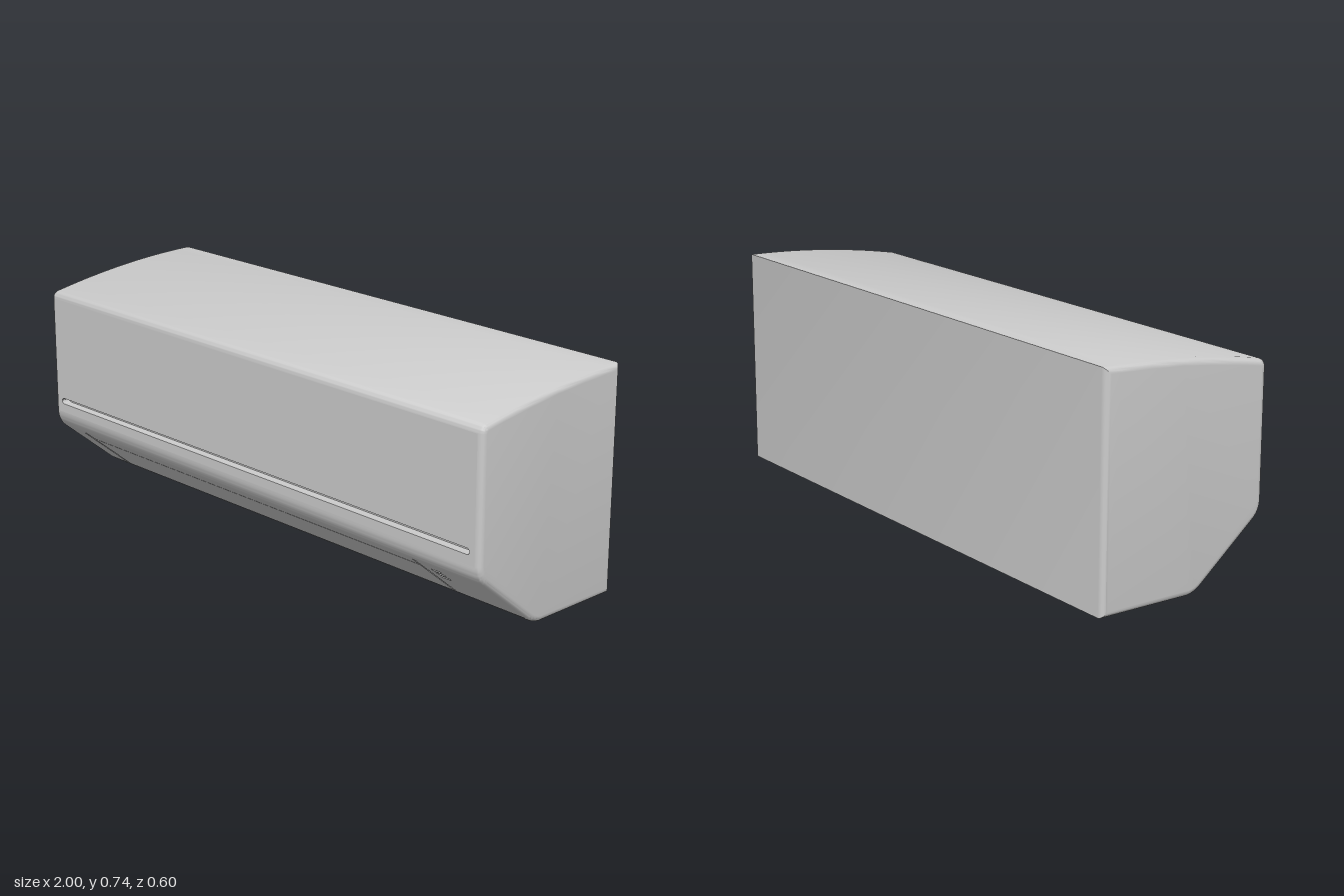
import * as THREE from 'three';
import { toCreasedNormals } from 'three/addons/utils/BufferGeometryUtils.js';

const HALF = 1, BEVEL = 0.02, FRONT = 0.3;
const CHAMFER_TOP = { z: 0.27, y: 0.186 }, CHAMFER_LOW = { z: 0.075, y: 0.024 };

const casing = new THREE.MeshStandardMaterial({ color: 0xcccccc });
casing.name = 'light grey plastic';

// Drops the triangles whose normal points along one of the directions; can turn the rest inside out.
function withoutFaces(geometry, directions, flip = false) {
  const source = geometry.index ? geometry.toNonIndexed() : geometry;
  const p = source.attributes.position;
  const out = [], t = new THREE.Triangle(), n = new THREE.Vector3();
  for (let i = 0; i < p.count; i += 3) {
    t.setFromAttributeAndIndices(p, i, i + 1, i + 2);
    t.getNormal(n);
    if (directions.some((d) => n.dot(d) > 0.9995)) continue;
    for (const v of flip ? [t.a, t.c, t.b] : [t.a, t.b, t.c]) out.push(v.x, v.y, v.z);
  }
  const result = new THREE.BufferGeometry();
  result.setAttribute('position', new THREE.Float32BufferAttribute(out, 3));
  return toCreasedNormals(result, 0.6);
}

function addMesh(parent, name, geometry) {
  const mesh = new THREE.Mesh(geometry, casing);
  mesh.name = name;
  parent.add(mesh);
}

function rectangle(x0, y0, x1, y1) {
  return new THREE.Shape().moveTo(x0, y0).lineTo(x1, y0).lineTo(x1, y1).lineTo(x0, y1).closePath();
}

// Slot with round ends
function roundSlot(x0, x1, y, r) {
  const s = new THREE.Shape();
  s.absarc(x1 - r, y, r, -Math.PI / 2, Math.PI / 2, false);
  s.absarc(x0 + r, y, r, Math.PI / 2, Math.PI * 1.5, false);
  return s.closePath();
}

// Flat panel facing +z with pockets sunk into it
function pocketPanel(name, height, pockets) {
  const group = new THREE.Group();
  group.name = name;
  const w = HALF - BEVEL;
  const sheet = rectangle(-w, 0, w, height);
  for (const { shape } of pockets) sheet.holes.push(shape);
  addMesh(group, name + 'Sheet', new THREE.ShapeGeometry(sheet, 8));
  for (const { part, shape, depth } of pockets) {
    const solid = new THREE.ExtrudeGeometry(shape, { depth, bevelEnabled: false, curveSegments: 8 });
    solid.translate(0, 0, -depth);
    addMesh(group, part, withoutFaces(solid, [new THREE.Vector3(0, 0, 1)], true));
  }
  return group;
}

export function createModel() {
  const model = new THREE.Group();
  model.name = 'wallAirConditioner';

  // Side profile, drawn with x = -z
  const profile = new THREE.Shape();
  profile.moveTo(0.3, 0);
  profile.lineTo(0.3, 0.735);
  profile.quadraticCurveTo(0.02, 0.735, -0.275, 0.679);
  profile.quadraticCurveTo(-FRONT, 0.675, -FRONT, 0.65);
  profile.lineTo(-FRONT, 0.25);
  profile.quadraticCurveTo(-FRONT, 0.211, -CHAMFER_TOP.z, CHAMFER_TOP.y);
  profile.lineTo(-CHAMFER_LOW.z, CHAMFER_LOW.y);
  profile.quadraticCurveTo(-0.046, 0, -0.015, 0);
  profile.closePath();

  // Shell with softened ends, left open where the two panels go
  const dy = CHAMFER_TOP.y - CHAMFER_LOW.y, dz = CHAMFER_TOP.z - CHAMFER_LOW.z;
  const slope = Math.hypot(dy, dz);
  const shell = new THREE.ExtrudeGeometry(profile, {
    depth: 2 * (HALF - BEVEL), curveSegments: 10, bevelEnabled: true,
    bevelSize: BEVEL, bevelThickness: BEVEL, bevelOffset: -BEVEL, bevelSegments: 5,
  });
  shell.translate(0, 0, -(HALF - BEVEL)).rotateY(Math.PI / 2);
  addMesh(model, 'shell', withoutFaces(shell, [
    new THREE.Vector3(0, 0, 1), new THREE.Vector3(0, -dz / slope, dy / slope),
  ]));

  // Front panel with its long groove
  const front = pocketPanel('frontPanel', 0.4, [
    { part: 'groove', shape: roundSlot(-0.96, 0.96, 0.04, 0.01), depth: 0.03 },
  ]);
  front.position.set(0, 0.25, FRONT);
  model.add(front);

  // Sloping outlet panel: gaps around the louver and three small vents
  const pockets = [
    { part: 'rightLouverGap', shape: rectangle(-0.883, 0.004, -0.873, 0.249), depth: 0.02 },
    { part: 'leftLouverGap', shape: rectangle(0.705, 0.004, 0.713, 0.249), depth: 0.02 },
    { part: 'louverSeam', shape: rectangle(-0.87, 0.204, 0.702, 0.207), depth: 0.01 },
  ];
  for (let i = 0; i < 3; i++) {
    pockets.push({ part: 'vent', shape: roundSlot(0.75, 0.79, 0.15 + i * 0.026, 0.006), depth: 0.015 });
  }
  const outlet = pocketPanel('outletPanel', slope, pockets);
  outlet.position.set(0, CHAMFER_LOW.y, CHAMFER_LOW.z);
  outlet.rotation.x = Math.atan2(dz, dy);
  model.add(outlet);

  return model;
}
